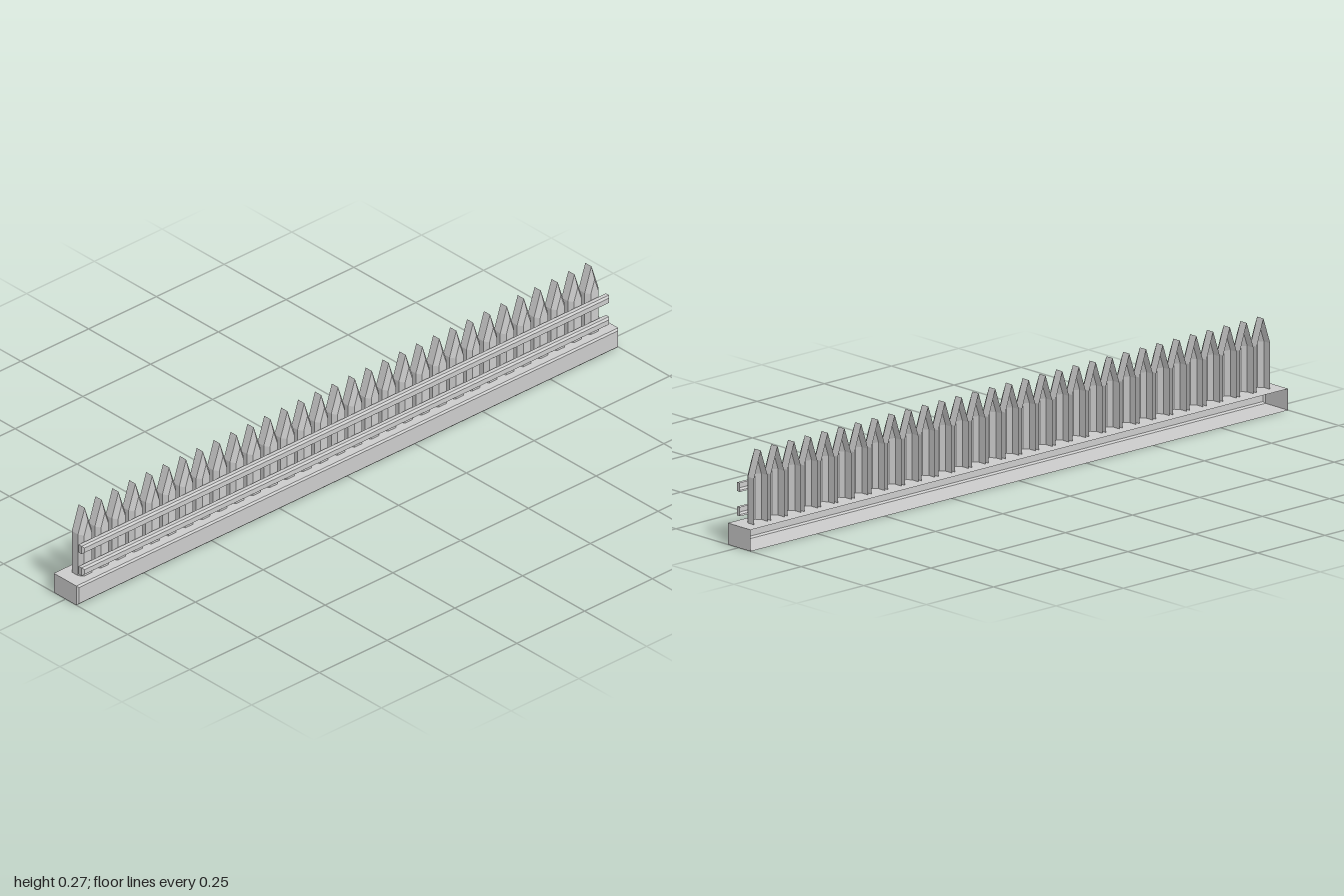
import * as THREE from 'three';

const material = new THREE.MeshStandardMaterial({
  color: 0xcccccc, flatShading: true, side: THREE.DoubleSide,
});

// Open-backed plank: straight sides, then a bevel to a smaller front face.
// outer and inner are matching counter-clockwise outlines [x, y].
function plankGeometry(outer, inner, zBack, zBevel, zFront) {
  const rings = [[outer, zBack], [outer, zBevel], [inner, zFront]];
  const n = outer.length;
  const positions = [];
  const index = [];
  for (const [outline, z] of rings) {
    for (const [x, y] of outline) positions.push(x, y, z);
  }
  for (let r = 0; r < 2; r++) {
    for (let i = 0; i < n; i++) {
      const a = r * n + i;
      const b = r * n + (i + 1) % n;
      index.push(a, b, b + n, a, b + n, a + n);
    }
  }
  for (let i = 1; i < n - 1; i++) index.push(2 * n, 2 * n + i, 2 * n + i + 1);
  const indexed = new THREE.BufferGeometry();
  indexed.setAttribute('position', new THREE.Float32BufferAttribute(positions, 3));
  indexed.setIndex(index);
  const geometry = indexed.toNonIndexed();
  geometry.computeVertexNormals();
  return geometry;
}

const rectangle = (w, y0, y1, inset = 0) => [
  [-w + inset, y0 + inset], [w - inset, y0 + inset],
  [w - inset, y1 - inset], [-w + inset, y1 - inset],
];

// Pointed outline, open into the base at its foot
const picketOutline = (w, shoulder, tip) => [
  [-w, 0.052], [w, 0.052], [w, shoulder], [0, tip], [-w, shoulder],
];

export function createModel() {
  const fence = new THREE.Group();
  fence.name = 'picketFence';

  const add = (name, geometry, x = 0) => {
    const mesh = new THREE.Mesh(geometry, material);
    mesh.name = name;
    mesh.position.x = x;
    fence.add(mesh);
  };

  // Long base beam
  add('base', plankGeometry(
    rectangle(1, 0, 0.061), rectangle(1, 0, 0.061, 0.005), -0.048, 0.043, 0.048));

  // Two horizontal rails in front of the pickets
  for (const [name, y] of [['lowerRail', 0.079], ['upperRail', 0.148]]) {
    add(name, plankGeometry(
      rectangle(0.973, y, y + 0.025), rectangle(0.973, y, y + 0.025, 0.005),
      0.023, 0.035, 0.041));
  }

  // Row of pointed pickets
  const picket = plankGeometry(
    picketOutline(0.025, 0.192, 0.267), picketOutline(0.014, 0.19, 0.232),
    -0.019, 0.006, 0.019);
  const count = 31;
  for (let i = 0; i < count; i++) {
    add('picket', picket, -0.935 + (1.87 * i) / (count - 1));
  }
  return fence;
}
